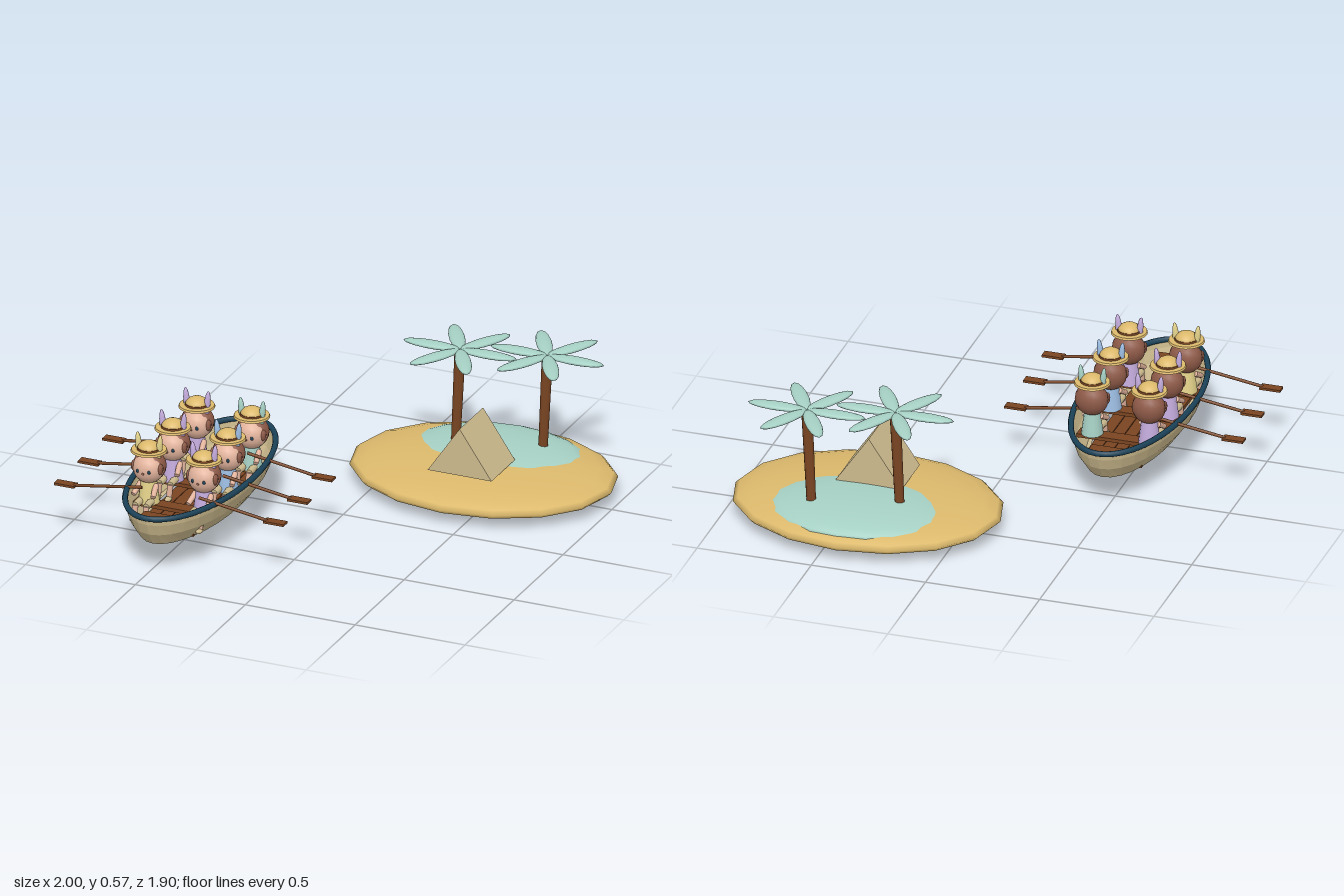
import * as THREE from 'three';

const mat = (name, color, side = THREE.FrontSide) => {
  const m = new THREE.MeshStandardMaterial({ color, side });
  m.name = name;
  return m;
};

export function createModel() {
  const sand = mat('sand', 0xdcb96c);
  const canvas = mat('canvas', 0xcdbb8e, THREE.DoubleSide);
  const navy = mat('navy', 0x1b4258);
  const wood = mat('wood', 0x7a4522);
  const mint = mat('mint', 0xa6d0c4);
  const skin = mat('skin', 0xe2b39c);
  const hair = mat('hair', 0x8e5a48);
  const lavender = mat('lavender', 0xc3abdc);
  const blue = mat('blue', 0x9dbde2);
  const yellow = mat('yellow', 0xe3d28a);

  const root = new THREE.Group();
  root.name = 'islandAndRowboat';

  const add = (parent, name, geo, material, x = 0, y = 0, z = 0) => {
    const m = new THREE.Mesh(geo, material);
    m.name = name;
    m.position.set(x, y, z);
    parent.add(m);
    return m;
  };
  const group = (parent, name, x = 0, y = 0, z = 0) => {
    const g = new THREE.Group();
    g.name = name;
    g.position.set(x, y, z);
    parent.add(g);
    return g;
  };
  const ball = (rx, ry, rz, w = 16, h = 10) => new THREE.SphereGeometry(1, w, h).scale(rx, ry, rz);
  const box = (w, h, d) => new THREE.BoxGeometry(w, h, d);
  const faceted = (geo) => {
    const g = geo.toNonIndexed();
    g.computeVertexNormals();
    return g;
  };
  // Round bar between two points
  const bar = (parent, name, a, b, r0, r1, material, sides = 8) => {
    const p = new THREE.Vector3(...a), q = new THREE.Vector3(...b);
    const dir = q.clone().sub(p);
    const m = add(parent, name, new THREE.CylinderGeometry(r1, r0, dir.length(), sides), material);
    m.position.copy(p).add(q).multiplyScalar(0.5);
    m.quaternion.setFromUnitVectors(new THREE.Vector3(0, 1, 0), dir.normalize());
    return m;
  };

  // Island
  const island = group(root, 'island');
  add(island, 'beach', ball(0.58, 0.071, 0.447, 16, 12), sand, 0.415, 0.077, -0.505);
  add(island, 'grass', ball(0.4, 0.06, 0.3, 20, 12), mint, 0.42, 0.1, -0.61);

  // Tent with its ridge running front to back
  const tri = new THREE.Shape([
    new THREE.Vector2(-0.145, 0), new THREE.Vector2(0.145, 0), new THREE.Vector2(0, 0.212)]);
  add(island, 'tent', new THREE.ExtrudeGeometry(tri, { depth: 0.24, bevelEnabled: false }),
    canvas, 0.415, 0.153, -0.498);

  // Palms: leaning trunk and six flat leaves
  for (const [x, z] of [[0.265, -0.6], [0.622, -0.69]]) {
    const palm = group(island, 'palm', x, 0, z);
    bar(palm, 'trunk', [-0.02, 0.13, 0], [0, 0.56, 0], 0.021, 0.025, wood);
    for (let i = 0; i < 6; i++) {
      const leaf = group(palm, 'leaf', 0, 0.56, 0);
      leaf.rotation.y = i * Math.PI / 3;
      add(leaf, 'leafBlade', ball(0.13, 0.014, 0.034, 14, 8), mint, 0.128, 0, 0);
    }
  }

  // Boat
  const boat = group(root, 'boat', -0.48, 0, 0.38);
  const profile = [[0.158, 0.142], [0.176, 0.142], [0.218, 0.2], [0.236, 0.25], [0.241, 0.283]]
    .map(([r, y]) => new THREE.Vector2(r, y));
  const hullGeo = new THREE.LatheGeometry(profile, 32);
  const pos = hullGeo.attributes.position;
  for (let i = 0; i < pos.count; i++) {
    // Stretch each round section into a long oval
    const r = Math.hypot(pos.getX(i), pos.getZ(i));
    pos.setZ(i, pos.getZ(i) * (r + 0.31) / r);
  }
  add(boat, 'hull', faceted(hullGeo), canvas);

  const rimPoints = [];
  for (let i = 0; i < 32; i++) {
    const a = i * Math.PI / 16;
    rimPoints.push(new THREE.Vector3(0.238 * Math.cos(a), 0.283, 0.553 * Math.sin(a)));
  }
  add(boat, 'rim', new THREE.TubeGeometry(
    new THREE.CatmullRomCurve3(rimPoints, true), 80, 0.0125, 8, true), navy);

  // Floor planks, benches and end seats
  for (let i = -2; i <= 2; i++) {
    add(boat, 'floorPlank', box(0.049, 0.016, 0.72), wood, i * 0.052, 0.152, 0);
  }
  for (const z of [-0.245, 0, 0.245]) {
    add(boat, 'bench', box(0.37, 0.016, 0.06), wood, 0, 0.206, z);
  }
  for (const s of [-1, 1]) {
    add(boat, 'endSeat', box(0.145, 0.02, 0.085), wood, 0, 0.235, s * 0.447);
  }

  // Oars, mirrored on both sides
  for (const z of [-0.19, 0.06, 0.305]) {
    for (const s of [-1, 1]) {
      const oar = group(boat, 'oar', 0, 0, z);
      bar(oar, 'oarShaft', [s * 0.13, 0.3, 0], [s * 0.44, 0.253, 0], 0.007, 0.007, wood);
      add(oar, 'oarBlade', box(0.092, 0.01, 0.042), wood, s * 0.476, 0.252, 0);
    }
  }

  // Rowers
  const rower = (x, z, outfit) => {
    const r = group(boat, 'rower', x, 0, z);
    add(r, 'body', new THREE.CylinderGeometry(0.034, 0.047, 0.1, 14), outfit, 0, 0.262, 0);
    add(r, 'head', ball(0.068, 0.066, 0.06), skin, 0, 0.369, 0.004);
    add(r, 'hair', ball(0.072, 0.071, 0.058), hair, 0, 0.376, -0.01);
    add(r, 'hatBrim', new THREE.CylinderGeometry(0.074, 0.077, 0.009, 24), sand, 0, 0.449, 0);
    add(r, 'hatBand', new THREE.CylinderGeometry(0.05, 0.051, 0.009, 24), wood, 0, 0.457, 0);
    add(r, 'hatCrown', new THREE.SphereGeometry(1, 20, 6, 0, Math.PI * 2, 0, Math.PI / 2)
      .scale(0.049, 0.036, 0.049), sand, 0, 0.453, 0);
    add(r, 'nose', ball(0.006, 0.005, 0.005, 8, 6), hair, 0, 0.362, 0.064);
    for (const s of [-1, 1]) {
      const ear = add(r, 'ear', ball(0.014, 0.066, 0.014, 10, 8), outfit, s * 0.046, 0.457, 0);
      ear.rotation.z = -s * 0.1;
      add(r, 'eye', ball(0.007, 0.009, 0.004, 8, 6), navy, s * 0.026, 0.371, 0.059);
      add(r, 'sideLock', ball(0.012, 0.025, 0.018, 8, 6), hair, s * 0.06, 0.375, 0.018);
      bar(r, 'arm', [s * 0.035, 0.295, 0.005], [s * 0.045, 0.262, 0.06], 0.013, 0.011, skin);
      bar(r, 'thigh', [s * 0.022, 0.228, 0.02], [s * 0.025, 0.225, 0.085], 0.016, 0.015, canvas);
      bar(r, 'shin', [s * 0.025, 0.228, 0.085], [s * 0.025, 0.165, 0.095], 0.014, 0.012, skin);
      add(r, 'foot', ball(0.015, 0.011, 0.024, 8, 6), canvas, s * 0.025, 0.17, 0.102);
    }
  };
  const crew = [[yellow, lavender], [lavender, blue], [lavender, mint]];
  crew.forEach(([a, b], i) => {
    rower(-0.125, 0.245 * (1 - i), a);
    rower(0.125, 0.245 * (1 - i), b);
  });

  return root;
}
